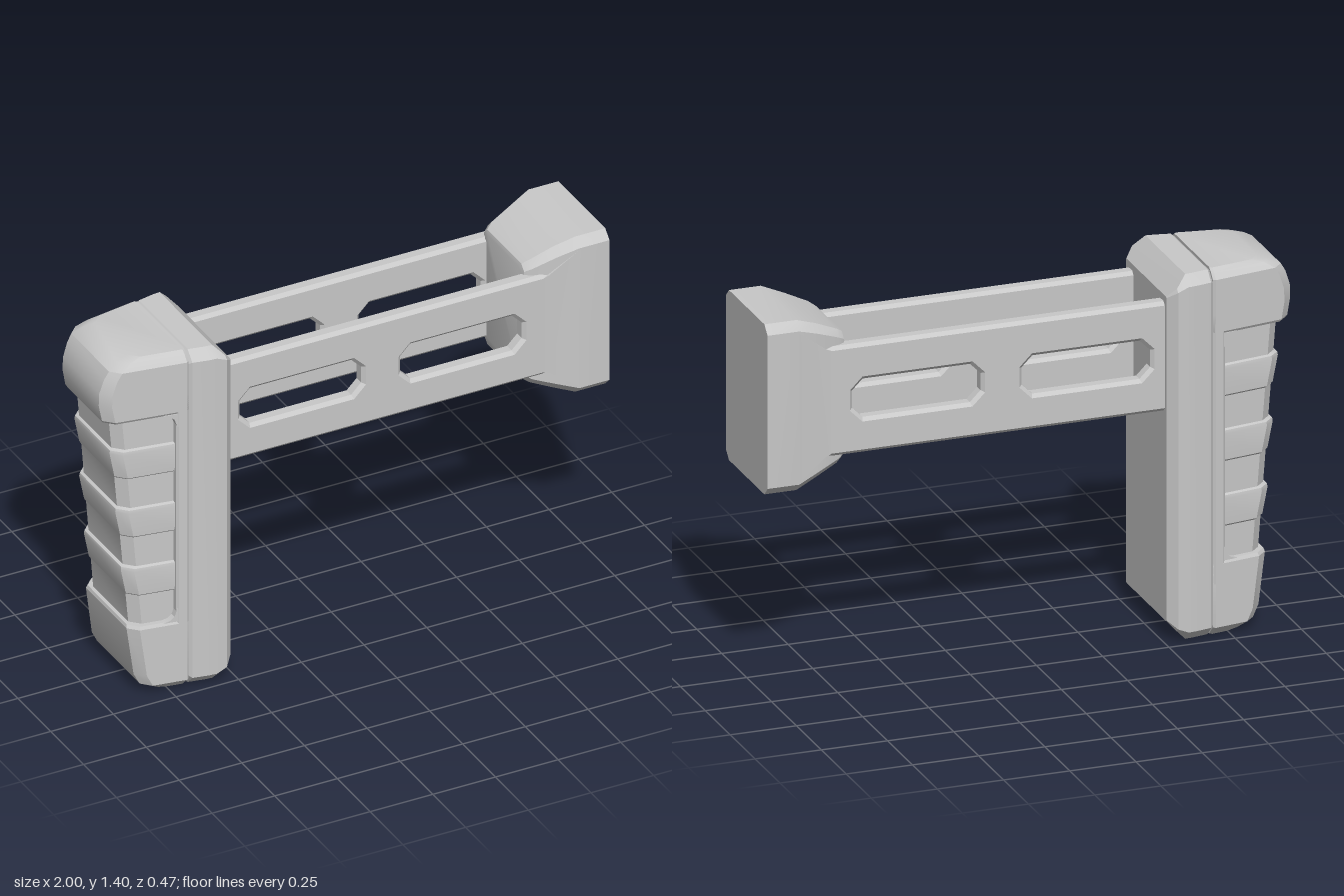
import * as THREE from 'three';
import { toCreasedNormals } from 'three/addons/utils/BufferGeometryUtils.js';

// Closed loft through equal-length rings of [x, y, z], wound outwards, edges kept sharp.
function loft(rings) {
  const tris = [];
  const n = rings[0].length;
  for (let r = 0; r < rings.length - 1; r++) {
    for (let i = 0; i < n; i++) {
      const j = (i + 1) % n;
      const a = rings[r][i], b = rings[r][j], c = rings[r + 1][j], d = rings[r + 1][i];
      tris.push([a, b, c], [a, c, d]);
    }
  }
  const last = rings[rings.length - 1];
  for (let i = 1; i < n - 1; i++) {
    tris.push([rings[0][0], rings[0][i + 1], rings[0][i]]);
    tris.push([last[0], last[i], last[i + 1]]);
  }
  let volume = 0;
  for (const [a, b, c] of tris) {
    volume += a[0] * (b[1] * c[2] - b[2] * c[1]) + a[1] * (b[2] * c[0] - b[0] * c[2]) + a[2] * (b[0] * c[1] - b[1] * c[0]);
  }
  if (volume < 0) tris.forEach((t) => t.reverse());
  const geo = new THREE.BufferGeometry();
  geo.setAttribute('position', new THREE.Float32BufferAttribute(tris.flat(2), 3));
  return toCreasedNormals(geo, 0.45);
}

// Chamfered rectangle in the yz plane.
function octagon([x, y0, y1, h, c]) {
  return [
    [x, y0, h - c], [x, y0 + c, h], [x, y1 - c, h], [x, y1, h - c],
    [x, y1, c - h], [x, y1 - c, -h], [x, y0 + c, -h], [x, y0, c - h],
  ];
}

// Pad half-width, tapering towards the rear.
const padWidth = (x) => 0.217 + (x + 0.7) * 0.165;

// Horizontal slice of the pad: tapered sides and a chamfered rear edge.
function padSlice(y, rear, inset = 0, front = -0.68, chamfer = 0.035) {
  const half = [
    [front, padWidth(front) - inset - 0.009],
    [front - 0.009, padWidth(front - 0.009) - inset],
    [rear + chamfer, padWidth(rear + chamfer) - inset],
    [rear, padWidth(rear) - inset - chamfer * 0.85],
  ];
  return [
    ...half.map(([x, z]) => [x, y, z]),
    ...half.reverse().map(([x, z]) => [x, y, -z]),
  ];
}

function slot(x0, x1, y0, y1, c) {
  const path = new THREE.Path();
  path.setFromPoints([
    [x0 + c, y0], [x0, y0 + c], [x0, y1 - c], [x0 + c, y1],
    [x1 - c, y1], [x1, y1 - c], [x1, y0 + c], [x1 - c, y0],
  ].map(([x, y]) => new THREE.Vector2(x, y)));
  path.closePath();
  return path;
}

export function createModel() {
  const group = new THREE.Group();
  const grey = new THREE.MeshStandardMaterial({ color: 0xc8c8c8 });
  grey.name = 'light grey';
  const add = (name, geo) => {
    const mesh = new THREE.Mesh(geo, grey);
    mesh.name = name;
    group.add(mesh);
    return mesh;
  };

  // Tall chamfered plate, ending in the shallow seam behind it
  add('buttPlate', loft([
    [-0.508, 0.08, 1.31, 0.203, 0.004],
    [-0.54, 0.045, 1.345, 0.237, 0.012],
    [-0.58, 0.003, 1.387, 0.237, 0.037],
    [-0.61, 0.003, 1.387, 0.234, 0.037],
    [-0.67, 0.003, 1.387, 0.222, 0.037],
    [-0.68, 0.011, 1.379, 0.212, 0.036],
    [-0.71, 0.011, 1.379, 0.205, 0.036],
  ].map(octagon)));

  // Rear pad: upper cap, lower cap and the strip joining them
  add('padUpperCap', loft([
    padSlice(1.145, -0.983, 0.006),
    padSlice(1.155, -0.988),
    padSlice(1.22, -1.0),
    padSlice(1.27, -0.998),
    padSlice(1.325, -0.98),
    padSlice(1.355, -0.962),
    padSlice(1.378, -0.925, 0.02),
    padSlice(1.39, -0.88, 0.037),
  ]));
  add('padLowerCap', loft([
    padSlice(0, -0.785, 0.037),
    padSlice(0.012, -0.82, 0.025),
    padSlice(0.036, -0.85),
    padSlice(0.08, -0.872),
    padSlice(0.275, -0.898),
    padSlice(0.287, -0.894, 0.006),
  ]));
  add('padStrip', loft([0.2, 1.2].map((y) => padSlice(y, -0.728, 0, -0.68, 0.008))));

  // Rounded inside corners of the grip recess
  for (const [y, dir, name] of [[1.147, -1, 'upperRecessCorner'], [0.285, 1, 'lowerRecessCorner']]) {
    const outline = [[-0.72, 0], [-0.775, 0], [-0.75, 0.008], [-0.735, 0.022], [-0.726, 0.05], [-0.72, 0.055]];
    const side = (sign) => outline.map(([x, d]) => [x, y + dir * d, sign * (padWidth(x) - 0.001)]);
    add(name, loft([side(1), side(-1)]));
  }

  // Recessed grip with three bands, each rising to a small lip at its top
  const rearAt = (y) => -0.88 - (y - 0.285) * 0.084;
  const gripSlice = (y, lip, inset) => padSlice(y, rearAt(y) - lip, inset, -0.69);
  const slices = [gripSlice(0.26, 0, 0.024)];
  for (let i = 0; i < 3; i++) {
    const low = 0.41 + i * 0.246, high = low + 0.116;
    slices.push(
      gripSlice(low - 0.004, 0, 0.024),
      gripSlice(low + 0.004, 0.003, 0.015),
      gripSlice(high - 0.012, 0.014, 0.011),
      gripSlice(high, 0.011, 0.013),
      gripSlice(high + 0.004, 0, 0.024),
    );
  }
  slices.push(gripSlice(1.17, 0, 0.024));
  add('ribbedGrip', loft(slices));

  // Two side arms with bevelled octagonal slots
  const arm = new THREE.Shape();
  arm.moveTo(-0.54, 0.87);
  arm.lineTo(0.85, 0.87);
  arm.lineTo(0.85, 1.285);
  arm.lineTo(-0.54, 1.285);
  arm.closePath();
  arm.holes.push(slot(-0.457, 0.028, 1.002, 1.147, 0.04), slot(0.183, 0.668, 1.002, 1.147, 0.04));
  const bevel = 0.013;
  const armGeo = new THREE.ExtrudeGeometry(arm, {
    depth: 0.06 - 2 * bevel, bevelEnabled: true, bevelSegments: 1,
    bevelSize: bevel, bevelThickness: bevel, bevelOffset: -bevel,
  });
  armGeo.translate(0, 0, -0.03 + bevel);
  add('frontArm', armGeo).position.z = 0.157;
  add('backArm', armGeo).position.z = -0.157;

  // Flared end block
  add('endBlock', loft([
    [0.685, 0.86, 1.305, 0.135, 0.02],
    [0.69, 0.845, 1.32, 0.152, 0.022],
    [0.715, 0.828, 1.337, 0.168, 0.025],
    [0.80, 0.79, 1.375, 0.188, 0.03],
    [0.88, 0.76, 1.405, 0.21, 0.032],
    [1.0, 0.76, 1.405, 0.21, 0.032],
  ].map(octagon)));

  // Flared shoulders blending each arm into the end block
  for (const s of [1, -1]) {
    add(s > 0 ? 'frontShoulder' : 'backShoulder', loft([
      [0.70, 0.9, 1.255, 0.184],
      [0.77, 0.875, 1.28, 0.188],
      [0.88, 0.80, 1.365, 0.21],
    ].map(([x, y0, y1, z]) => [[x, y0, s * z], [x, y1, s * z], [x, y1, s * 0.13], [x, y0, s * 0.13]])));
  }
  return group;
}
